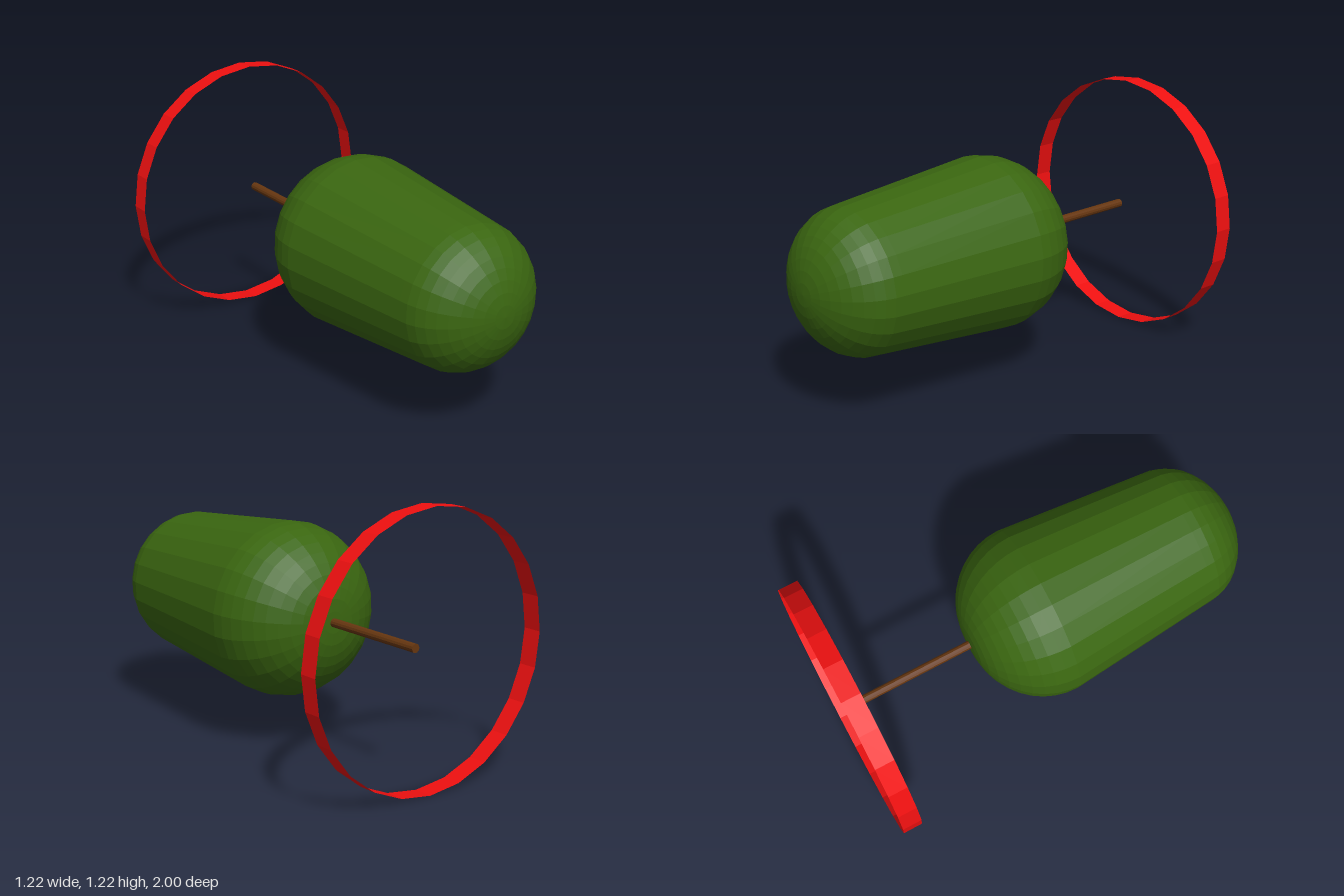
import * as THREE from 'three';

const AXIS_Y = 0.61;

function material(color, side = THREE.FrontSide) {
  return new THREE.MeshStandardMaterial({ color, flatShading: true, side });
}

export function createModel() {
  const group = new THREE.Group();

  // Adds a part whose geometry runs along y, turned to run along z
  const add = (name, geometry, mat, z = 0) => {
    geometry.rotateX(Math.PI / 2);
    const mesh = new THREE.Mesh(geometry, mat);
    mesh.name = name;
    mesh.position.set(0, AXIS_Y, z);
    group.add(mesh);
  };

  // Body: flat back, rounded shoulder, tapered side and domed front
  const profile = [new THREE.Vector2(0, -0.35)];
  const steps = 10;
  for (let i = 0; i <= steps; i++) {
    const a = (i / steps) * Math.PI / 2;
    profile.push(new THREE.Vector2(0.05 + 0.352 * Math.sin(a), -0.35 * Math.cos(a)));
  }
  for (let i = 0; i <= steps; i++) {
    const a = (i / steps) * Math.PI / 2;
    profile.push(new THREE.Vector2(i === steps ? 0 : 0.337 * Math.cos(a), 0.72 + 0.28 * Math.sin(a)));
  }
  add('body', new THREE.LatheGeometry(profile, 24, THREE.MathUtils.degToRad(4.3)), material(0x3a6610));

  // Stem behind the body
  add('stem', new THREE.CylinderGeometry(0.02, 0.02, 0.55, 12), material(0x663610), -0.615);

  // Thin open hoop around the end of the stem
  add('hoop', new THREE.CylinderGeometry(0.61, 0.61, 0.09, 24, 1, true),
    material(0xee1010, THREE.DoubleSide), -0.955);

  return group;
}
